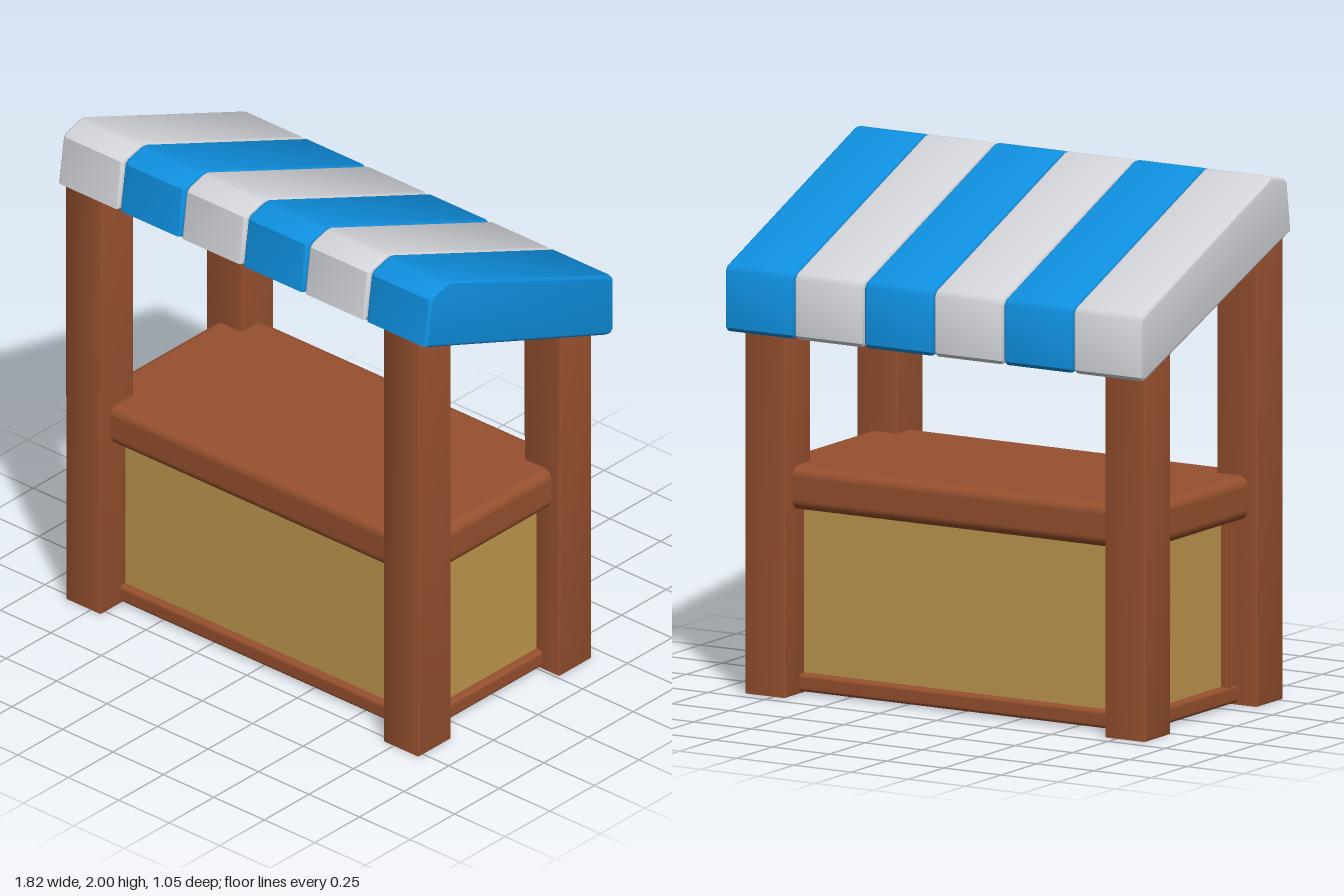
import * as THREE from 'three';
import { toCreasedNormals } from 'three/addons/utils/BufferGeometryUtils.js';
import { RoundedBoxGeometry } from 'three/addons/geometries/RoundedBoxGeometry.js';

const material = (name, color) => {
  const m = new THREE.MeshStandardMaterial({ color });
  m.name = name;
  return m;
};

// Side profile of [z, y] points, extruded along x, centred, with softened edges
function prism(points, width, bevel) {
  const shape = new THREE.Shape(points.map(([z, y]) => new THREE.Vector2(z, y)));
  const geo = new THREE.ExtrudeGeometry(shape, {
    depth: width - 2 * bevel, bevelEnabled: true, bevelSize: bevel,
    bevelThickness: bevel, bevelOffset: -bevel, bevelSegments: 3,
  });
  geo.translate(0, 0, bevel - width / 2);
  geo.rotateY(-Math.PI / 2);
  return toCreasedNormals(geo, 0.7);
}

export function createModel() {
  const group = new THREE.Group();
  group.name = 'marketStall';
  const wood = material('brown wood', 0x96502e);
  const panelWood = material('tan panel', 0xc0974e);
  const blue = material('blue cloth', 0x0f90e0);
  const white = material('white cloth', 0xd5d6db);

  const add = (name, geo, mat, x = 0, y = 0, z = 0) => {
    const mesh = new THREE.Mesh(geo, mat);
    mesh.name = name;
    mesh.position.set(x, y, z);
    group.add(mesh);
  };
  // Box given by its limits in y and z
  const block = (name, mat, x, width, y0, y1, z0, z1, radius) =>
    add(name, new RoundedBoxGeometry(width, y1 - y0, z1 - z0, 3, radius), mat,
      x, (y0 + y1) / 2, (z0 + z1) / 2);

  // Awning: six striped slabs sloping down to the back
  const awningProfile = [
    [0.527, 1.775], [0.5, 1.965], [0.483, 1.98], [0.41, 2.0], [0.385, 2.0],
    [-0.51, 1.63], [-0.525, 1.61], [-0.525, 1.395], [-0.51, 1.38], [-0.485, 1.383],
  ];
  const stripe = prism(awningProfile, 0.298, 0.012);
  for (let i = 0; i < 6; i++) {
    add('awningStripe' + (i + 1), stripe, i % 2 ? blue : white, -0.7625 + 0.305 * i);
  }

  // Four posts, cut at the slope of the awning
  const frontPost = prism([[0.345, 0], [0.525, 0], [0.525, 1.778], [0.345, 1.72]], 0.177, 0.006);
  const backPost = prism([[-0.44, 0], [-0.263, 0], [-0.263, 1.49], [-0.44, 1.42]], 0.177, 0.006);
  for (const [side, s] of [['left', 1], ['right', -1]]) {
    add(side + 'FrontPost', frontPost, wood, s * 0.787);
    add(side + 'BackPost', backPost, wood, s * 0.787);
    // Upright trim beside the front post
    block(side + 'Trim', wood, s * 0.745, 0.08, 0.04, 0.74, 0.275, 0.37, 0.005);
  }

  // Counter top, panelled body and base
  block('counterTop', wood, 0, 1.67, 0.703, 0.868, -0.39, 0.47, 0.04);
  add('bodyPanels', new THREE.BoxGeometry(1.52, 0.7, 0.7), panelWood, 0, 0.39, 0.04);
  block('base', wood, 0, 1.58, 0.008, 0.076, -0.34, 0.42, 0.015);

  return group;
}
